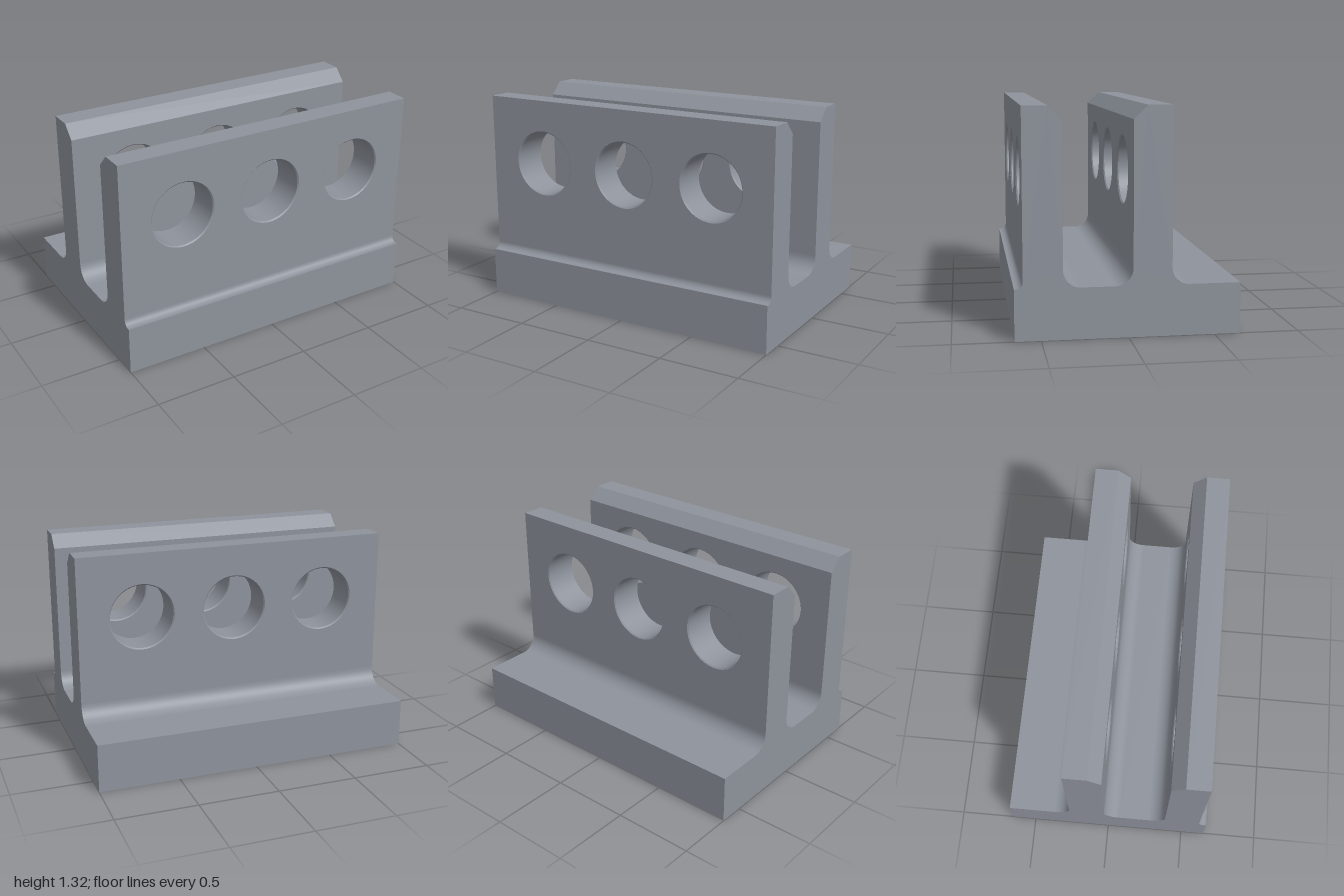
import * as THREE from 'three';
import { mergeGeometries } from 'three/addons/utils/BufferGeometryUtils.js';

const HALF = 1;                       // half length along x
const HOLE = { xs: [-0.6, 0, 0.6], y: 0.92, r: 0.2, rim: 0.0075, sides: 64 };
const WALL = 0.225;                   // wall thickness

// Side profile, drawn in (-z, y), counter-clockwise
function sideProfile() {
  const p = new THREE.Shape();
  const q = Math.PI / 2;
  p.moveTo(-0.65, 0).lineTo(0.65, 0).lineTo(0.65, 0.3).lineTo(0.35, 0.3);
  p.absarc(0.35, 0.4, 0.1, -q, -2 * q, true);
  p.lineTo(0.25, 1.32).lineTo(0.105, 1.32).lineTo(0.025, 1.24).lineTo(0.025, 0.4);
  p.absarc(-0.075, 0.4, 0.1, 0, -q, true);
  p.lineTo(-0.275, 0.3);
  p.absarc(-0.275, 0.4, 0.1, -q, -2 * q, true);
  p.lineTo(-0.375, 1.24).lineTo(-0.455, 1.32).lineTo(-0.6, 1.32).lineTo(-0.6, 0.34);
  p.absarc(-0.64, 0.34, 0.04, 0, -q, true);
  p.lineTo(-0.65, 0.3).lineTo(-0.65, 0);
  return p;
}

// Sweep one profile edge along x; arcs stay smooth, lines stay flat
function sweep(curve) {
  const pts = curve.getPoints(curve.isLineCurve ? 1 : 12);
  const pos = [], index = [];
  pts.forEach((p, i) => {
    pos.push(-HALF, p.y, -p.x, HALF, p.y, -p.x);
    if (i) {
      const a = 2 * i - 2;
      index.push(a, a + 2, a + 3, a, a + 3, a + 1);
    }
  });
  const g = new THREE.BufferGeometry();
  g.setAttribute('position', new THREE.Float32BufferAttribute(pos, 3));
  g.setIndex(index);
  g.computeVertexNormals();
  return g;
}

// Flat wall face with the three round openings
function holedFace(curve) {
  const { v1, v2 } = curve;
  const lo = Math.min(v1.y, v2.y), hi = Math.max(v1.y, v2.y);
  const s = new THREE.Shape();
  s.moveTo(-HALF, lo).lineTo(HALF, lo).lineTo(HALF, hi).lineTo(-HALF, hi).closePath();
  for (const x of HOLE.xs) {
    s.holes.push(new THREE.Path().absarc(x, HOLE.y, HOLE.r + HOLE.rim, 0, Math.PI * 2, true));
  }
  const g = new THREE.ShapeGeometry(s, HOLE.sides);
  if (v2.y > v1.y) g.rotateY(Math.PI);
  return g.translate(0, 0, -v1.x);
}

// Bore with a tiny chamfer at each mouth, facing inward
function boreLining() {
  const { r, rim, sides } = HOLE, h = WALL / 2;
  const prof = [[r + rim, h], [r, h - rim], [r, rim - h], [r + rim, -h]]
    .map(([x, y]) => new THREE.Vector2(x, y));
  const bands = [0, 1, 2].map(i => new THREE.LatheGeometry(prof.slice(i, i + 2), sides));
  return mergeGeometries(bands).rotateX(Math.PI / 2);
}

export function createModel() {
  const group = new THREE.Group();
  group.name = 'doubleWallBracket';
  const steel = new THREE.MeshStandardMaterial({ color: 0x8e939c });
  steel.name = 'steelGrey';
  const add = (name, geometry) => {
    const m = new THREE.Mesh(geometry, steel);
    m.name = name;
    group.add(m);
    return m;
  };

  // Long surfaces: base, fillets, chamfers and wall faces
  const profile = sideProfile();
  const plain = [];
  for (const c of profile.curves) {
    if (c.getLength() < 1e-6) continue;
    const tallWall = c.isLineCurve && Math.abs(c.v1.y - c.v2.y) > 0.5;
    if (tallWall) add('wallFace', holedFace(c));
    else plain.push(sweep(c));
  }
  add('baseAndEdges', mergeGeometries(plain));

  // End faces
  for (const side of [1, -1]) {
    const cap = new THREE.ShapeGeometry(profile, 12).rotateY(Math.PI / 2);
    if (side < 0) {
      // mirror to the other end and reverse the winding
      const ix = cap.index.array;
      for (let i = 0; i < ix.length; i += 3) [ix[i], ix[i + 1]] = [ix[i + 1], ix[i]];
      cap.computeVertexNormals();
    }
    cap.translate(side * HALF, 0, 0);
    add(side > 0 ? 'leftEnd' : 'rightEnd', cap);
  }

  // Three bores through each wall
  for (const z of [0.4875, -0.1375]) {
    for (const x of HOLE.xs) add('bore', boreLining()).position.set(x, HOLE.y, z);
  }
  return group;
}
